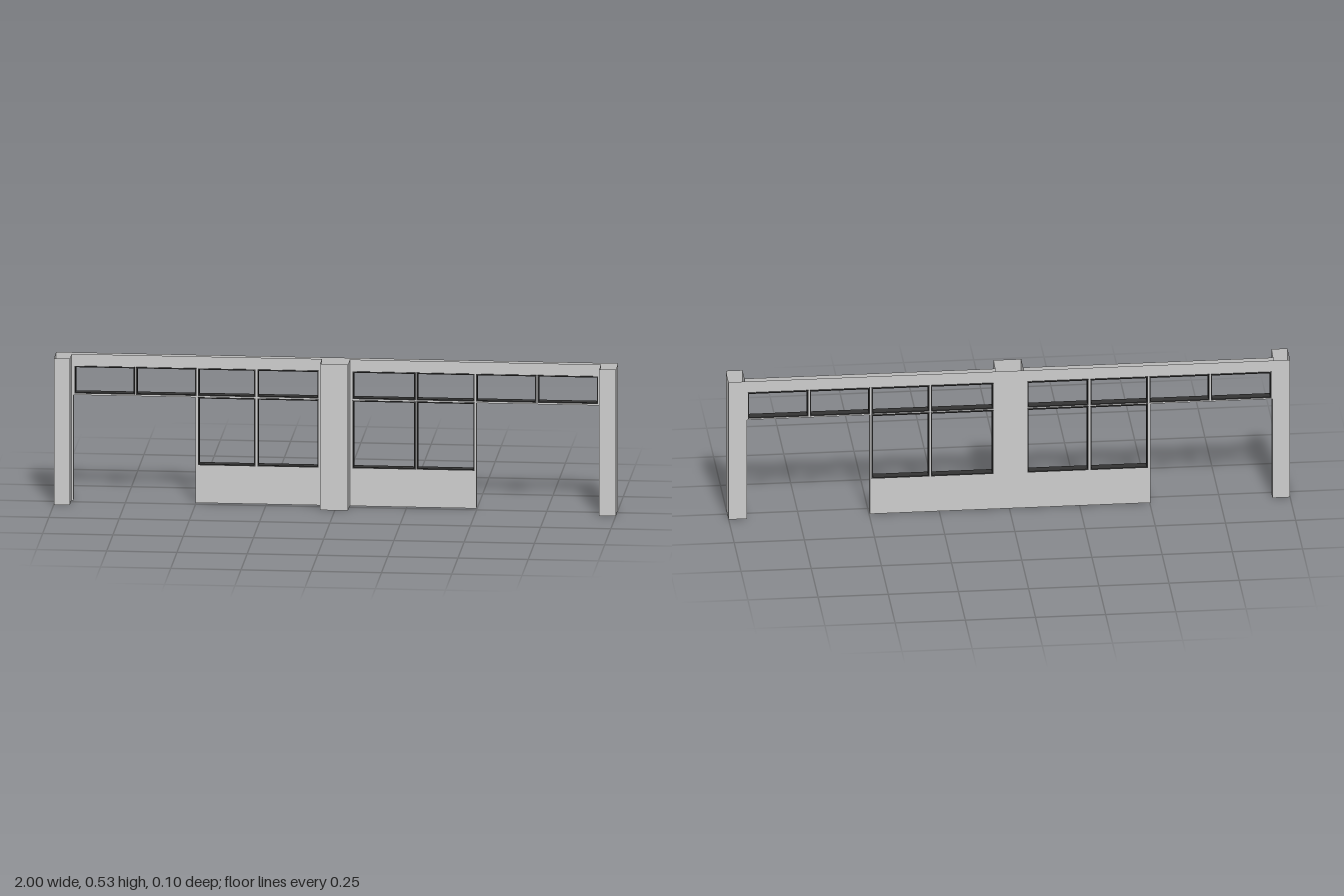
import * as THREE from 'three';

const H = 0.533;            // overall height
const BACK = -0.048, FRONT = -0.022, PILLAR = 0.052;
const TRANSOM = 0.384;      // underside of the outer transoms

const grey = new THREE.MeshStandardMaterial({ color: 0xcccccc, side: THREE.DoubleSide, flatShading: true });
const dark = new THREE.MeshStandardMaterial({ color: 0x333333, side: THREE.DoubleSide, flatShading: true });

// Window panes: [x0, x1, hasLowerPane]
const columns = [
  [-0.933, -0.718, false], [-0.713, -0.499, false], [-0.493, -0.289, true], [-0.282, -0.064, true],
  [0.057, 0.28, true], [0.285, 0.491, true], [0.497, 0.711, false], [0.716, 0.931, false],
];
const panes = [];
for (const [x0, x1, lower] of columns) {
  panes.push([x0, x1, 0.39, 0.49]);
  if (lower) panes.push([x0, x1, 0.138, 0.385]);
}

const polygon = (pts) => new THREE.Shape(pts.map(([x, y]) => new THREE.Vector2(x, y)));
const rect = (x0, x1, y0, y1) => [[x0, y0], [x1, y0], [x1, y1], [x0, y1]];

function add(parent, name, geometry, material) {
  const mesh = new THREE.Mesh(geometry, material);
  mesh.name = name;
  parent.add(mesh);
  return mesh;
}

// Flat wall skin with window openings
function wallSkin(parent, name, pts, z, xMin, xMax) {
  const shape = polygon(pts);
  for (const [x0, x1, y0, y1] of panes) {
    if (x0 > xMin && x1 < xMax) shape.holes.push(polygon(rect(x0, x1, y0, y1)));
  }
  const geo = new THREE.ShapeGeometry(shape);
  geo.translate(0, 0, z);
  return add(parent, name, geo, grey);
}

// Open vertical sheet following a plan path of [x, z] points
function sheet(parent, name, path, y0, y1) {
  const pos = [], index = [];
  path.forEach(([x, z]) => pos.push(x, y0, z, x, y1, z));
  for (let i = 0; i < path.length - 1; i++) {
    const a = i * 2;
    index.push(a, a + 2, a + 3, a, a + 3, a + 1);
  }
  const geo = new THREE.BufferGeometry();
  geo.setAttribute('position', new THREE.Float32BufferAttribute(pos, 3));
  geo.setIndex(index);
  const flat = geo.toNonIndexed();
  flat.computeVertexNormals();
  return add(parent, name, flat, grey);
}

export function createModel() {
  const model = new THREE.Group();
  model.name = 'shopfrontWall';

  // Back skin across the full width
  wallSkin(model, 'backWall', [
    [-1, 0], [-0.937, 0], [-0.937, TRANSOM], [-0.503, TRANSOM], [-0.503, 0],
    [0.497, 0], [0.497, TRANSOM], [0.935, TRANSOM], [0.935, 0], [1, 0], [1, H], [-1, H],
  ], BACK, -1, 1);

  // Front skins between the pillars
  wallSkin(model, 'frontWallRight', [
    [-0.943, 0], [-0.937, 0], [-0.937, TRANSOM], [-0.503, TRANSOM], [-0.503, 0],
    [-0.052, 0], [-0.052, H], [-0.943, H],
  ], FRONT, -0.95, 0);
  wallSkin(model, 'frontWallLeft', [
    [0.047, 0], [0.497, 0], [0.497, TRANSOM], [0.935, TRANSOM], [0.935, 0],
    [0.941, 0], [0.941, H], [0.047, H],
  ], FRONT, 0, 0.95);

  // Pillars, open at top and bottom
  sheet(model, 'rightPillar', [[-1, BACK], [-1, PILLAR], [-0.943, PILLAR], [-0.943, FRONT]], 0, H);
  sheet(model, 'centrePillar', [[-0.052, FRONT], [-0.052, PILLAR], [0.047, PILLAR], [0.047, FRONT]], 0, H);
  sheet(model, 'leftPillar', [[0.941, FRONT], [0.941, PILLAR], [1, PILLAR], [1, BACK]], 0, H);

  // Reveals of the two doorways
  sheet(model, 'rightDoorOuterReveal', [[-0.937, FRONT], [-0.937, BACK]], 0, TRANSOM);
  sheet(model, 'rightDoorInnerReveal', [[-0.503, BACK], [-0.503, FRONT]], 0, TRANSOM);
  sheet(model, 'leftDoorInnerReveal', [[0.497, FRONT], [0.497, BACK]], 0, TRANSOM);
  sheet(model, 'leftDoorOuterReveal', [[0.935, BACK], [0.935, FRONT]], 0, TRANSOM);

  // Thin dark frame lining every window opening
  const frames = new THREE.Group();
  frames.name = 'windowFrames';
  const t = 0.004;
  for (const [x0, x1, y0, y1] of panes) {
    const ring = polygon(rect(x0, x1, y0, y1));
    ring.holes.push(polygon(rect(x0 + t, x1 - t, y0 + t, y1 - t)));
    const geo = new THREE.ExtrudeGeometry(ring, { depth: 0.034, bevelEnabled: false });
    geo.translate(0, 0, -0.052);
    add(frames, 'windowFrame', geo, dark);
  }
  model.add(frames);

  return model;
}
